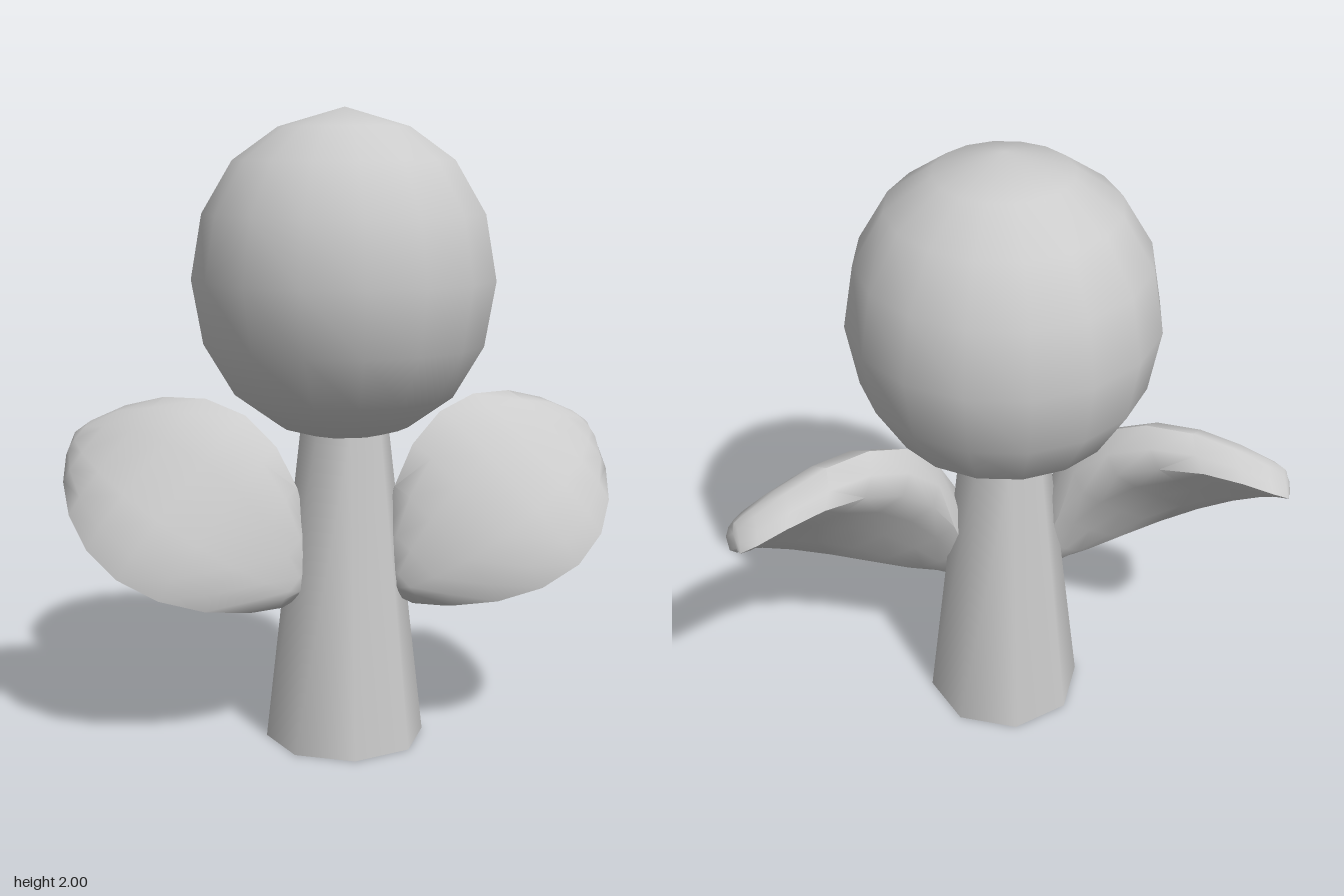
import * as THREE from 'three';
import { toCreasedNormals } from 'three/addons/utils/BufferGeometryUtils.js';

const grey = new THREE.MeshStandardMaterial({ color: 0xcccccc });
const greyOpen = new THREE.MeshStandardMaterial({ color: 0xcccccc, side: THREE.DoubleSide });

// Leaf frame: base point, length axis, face normal and width axis (left leaf)
const BASE = new THREE.Vector3(0.15, 0.495, 0.075);
const ALONG = new THREE.Vector3(0.775, 0.51, -0.375).normalize();
const FACE = new THREE.Vector3(0.09, 0.49, 0.865).normalize();
const ACROSS = new THREE.Vector3().crossVectors(FACE, ALONG).normalize();
const LENGTH = 0.9, HALF_WIDTH = 0.315, BEND = 0.17;

// Cross-section of the leaf: [fraction of half width, height off the leaf plane]
const SECTION = [
  [-1, 0.02], [-0.75, 0.055], [-0.35, 0.07], [0.35, 0.07], [0.75, 0.06], [1, 0.02],
  [0.97, -0.06], [0.82, -0.115], [0.45, -0.115], [0, -0.1], [-0.5, -0.08], [-0.9, -0.05],
];

// Loft the section along a bent, almond-shaped blade; side is +1 (left) or -1 (right)
function leafGeometry(side) {
  const rows = 10, n = SECTION.length, pos = [], index = [];
  const tri = (a, b, c) => (side > 0 ? index.push(a, b, c) : index.push(a, c, b));
  for (let i = 0; i <= rows; i++) {
    const s = (1 - Math.cos((Math.PI * i) / rows)) / 2;
    const round = Math.max(0, Math.sin(Math.PI * s));
    const width = 0.012 + HALF_WIDTH * Math.pow(round, 0.62);
    const bend = 4 * BEND * s * (1 - s);
    const thick = 0.55 + 0.45 * Math.sqrt(round);
    for (const [c, h] of SECTION) {
      const p = BASE.clone()
        .addScaledVector(ALONG, s * LENGTH)
        .addScaledVector(ACROSS, c * width)
        .addScaledVector(FACE, bend + h * thick);
      pos.push(p.x * side, p.y, p.z);
    }
  }
  for (let i = 0; i < rows; i++) {
    for (let j = 0; j < n; j++) {
      const a = i * n + j, b = i * n + ((j + 1) % n);
      tri(a, a + n, b);
      tri(b, a + n, b + n);
    }
  }
  // Close the two blunt tips
  const last = rows * n;
  for (let j = 1; j < n - 1; j++) {
    tri(0, j, j + 1);
    tri(last, last + j + 1, last + j);
  }
  const g = new THREE.BufferGeometry();
  g.setAttribute('position', new THREE.Float32BufferAttribute(pos, 3));
  g.setIndex(index);
  return toCreasedNormals(g, 1.0);
}

export function createModel() {
  const model = new THREE.Group();
  const add = (name, geometry, material = grey) => {
    const mesh = new THREE.Mesh(geometry, material);
    mesh.name = name;
    model.add(mesh);
    return mesh;
  };

  // Round bud on top, slightly taller than wide
  const bud = [[0, 0.96], [0.205, 1.02], [0.345, 1.12], [0.44, 1.28], [0.475, 1.48],
    [0.44, 1.68], [0.345, 1.84], [0.205, 1.94], [0, 2]];
  const budProfile = bud.map(([r, y]) => new THREE.Vector2(r, y));
  add('bud', toCreasedNormals(new THREE.LatheGeometry(budProfile, 16), 1.0));

  // Tapered eight-sided stem, open below
  add('stem', new THREE.CylinderGeometry(0.14, 0.255, 1.01, 8, 1, true), greyOpen).position.y = 0.505;

  // Pair of thick leaves
  add('leftLeaf', leafGeometry(1));
  add('rightLeaf', leafGeometry(-1));
  return model;
}
